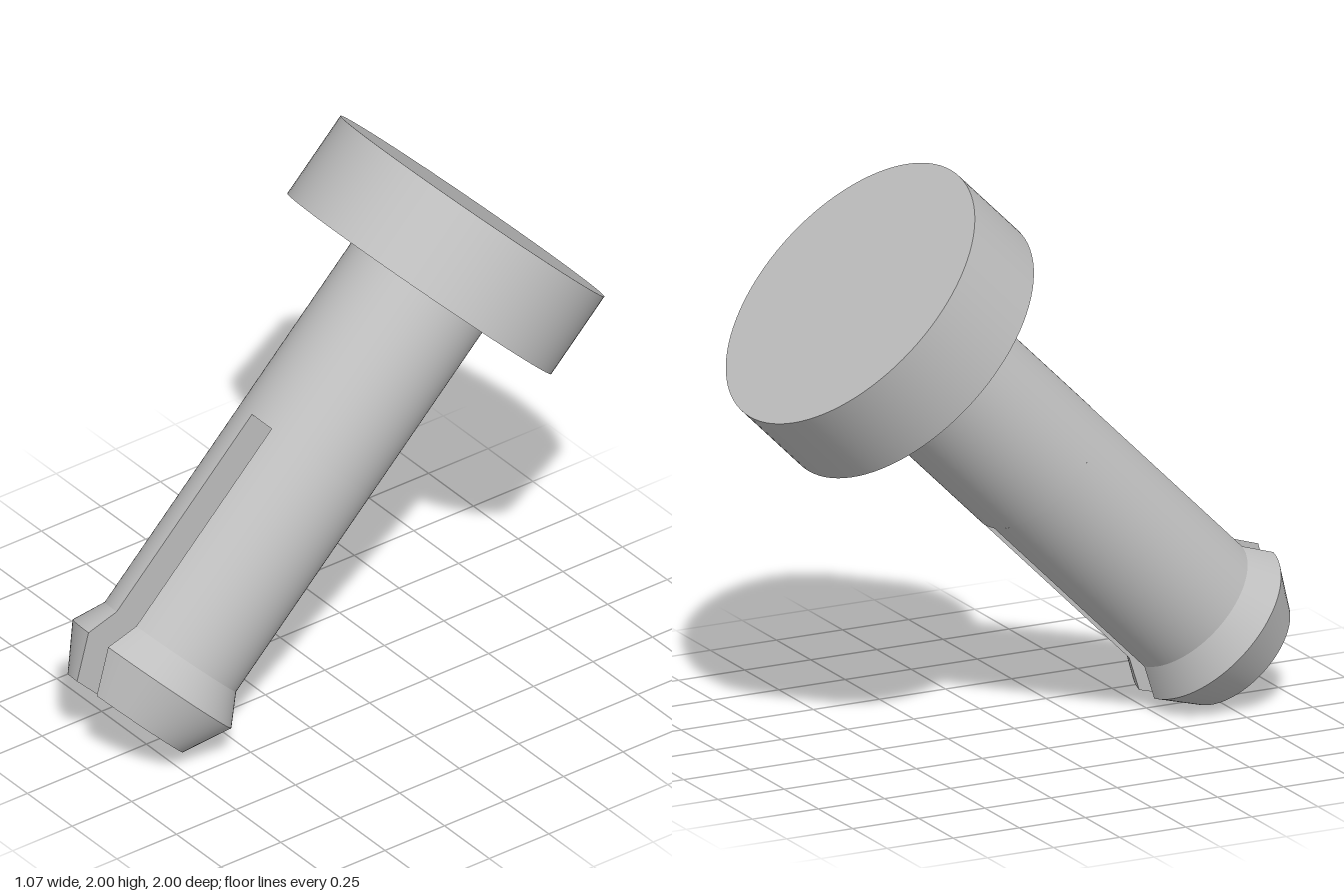
import * as THREE from 'three';

const SEG = 96;
const GAP = 0.055;        // half width of the slot
const SLOT_END = 1.073;   // slot depth measured from the tip
const SHAFT_R = 0.267;
const HEAD_BASE = 1.747, HEAD_TOP = 2.063;

// radius and height of the snap-fit prongs, from tip to slot end
const PROFILE = [[0.234, 0], [0.323, 0.159], [SHAFT_R, 0.269], [SHAFT_R, SLOT_END]];

const grey = new THREE.MeshStandardMaterial({ color: 0xbfbfbf });
grey.name = 'grey';

function part(name, geometry) {
  const mesh = new THREE.Mesh(geometry, grey);
  mesh.name = name;
  return mesh;
}

// Curved outer band between two profile points, cut off at the slot plane
function bandGeometry(lower, upper, n = 48) {
  const positions = [], index = [];
  for (let i = 0; i <= n; i++) {
    for (const [r, y] of [lower, upper]) {
      const a = Math.acos(GAP / r) * (2 * i / n - 1);
      positions.push(r * Math.cos(a), y, r * Math.sin(a));
    }
    if (i < n) {
      const k = 2 * i;
      index.push(k, k + 1, k + 2, k + 1, k + 3, k + 2);
    }
  }
  const g = new THREE.BufferGeometry();
  g.setAttribute('position', new THREE.Float32BufferAttribute(positions, 3));
  g.setIndex(index);
  g.computeVertexNormals();
  return g;
}

// One half of the split end
function makeProng(name) {
  const prong = new THREE.Group();
  prong.name = name;
  for (let i = 0; i < PROFILE.length - 1; i++) {
    prong.add(part(['tipTaper', 'barb', 'prongShaft'][i], bandGeometry(PROFILE[i], PROFILE[i + 1])));
  }
  // flat wall facing the slot
  const side = PROFILE.map(([r, y]) => new THREE.Vector2(Math.sqrt(r * r - GAP * GAP), y));
  const mirrored = side.map(p => new THREE.Vector2(-p.x, p.y)).reverse();
  const wall = new THREE.ShapeGeometry(new THREE.Shape([...side, ...mirrored]));
  wall.rotateY(-Math.PI / 2).translate(GAP, 0, 0);
  prong.add(part('slotWall', wall));
  // flat tip
  const a = Math.acos(GAP / PROFILE[0][0]);
  const tip = new THREE.Shape().absarc(0, 0, PROFILE[0][0], -a, a, false);
  prong.add(part('tipFace', new THREE.ShapeGeometry(tip, 48).rotateX(Math.PI / 2)));
  return prong;
}

export function createModel() {
  const model = new THREE.Group();
  model.name = 'splitPin';

  const pin = new THREE.Group();
  pin.name = 'pin';
  const cylinder = (r, y0, y1) =>
    new THREE.CylinderGeometry(r, r, y1 - y0, SEG).translate(0, (y0 + y1) / 2, 0);
  pin.add(part('head', cylinder(0.537, HEAD_BASE, HEAD_TOP)));
  pin.add(part('shaft', cylinder(SHAFT_R, SLOT_END, HEAD_BASE)));

  const left = makeProng('leftProng');
  const right = makeProng('rightProng');
  right.rotation.y = Math.PI;
  pin.add(left, right);

  // lean the pin back with its tip at the front
  pin.rotation.x = -Math.PI / 4;
  pin.position.set(0, 0.161, 0.839);
  model.add(pin);
  return model;
}
